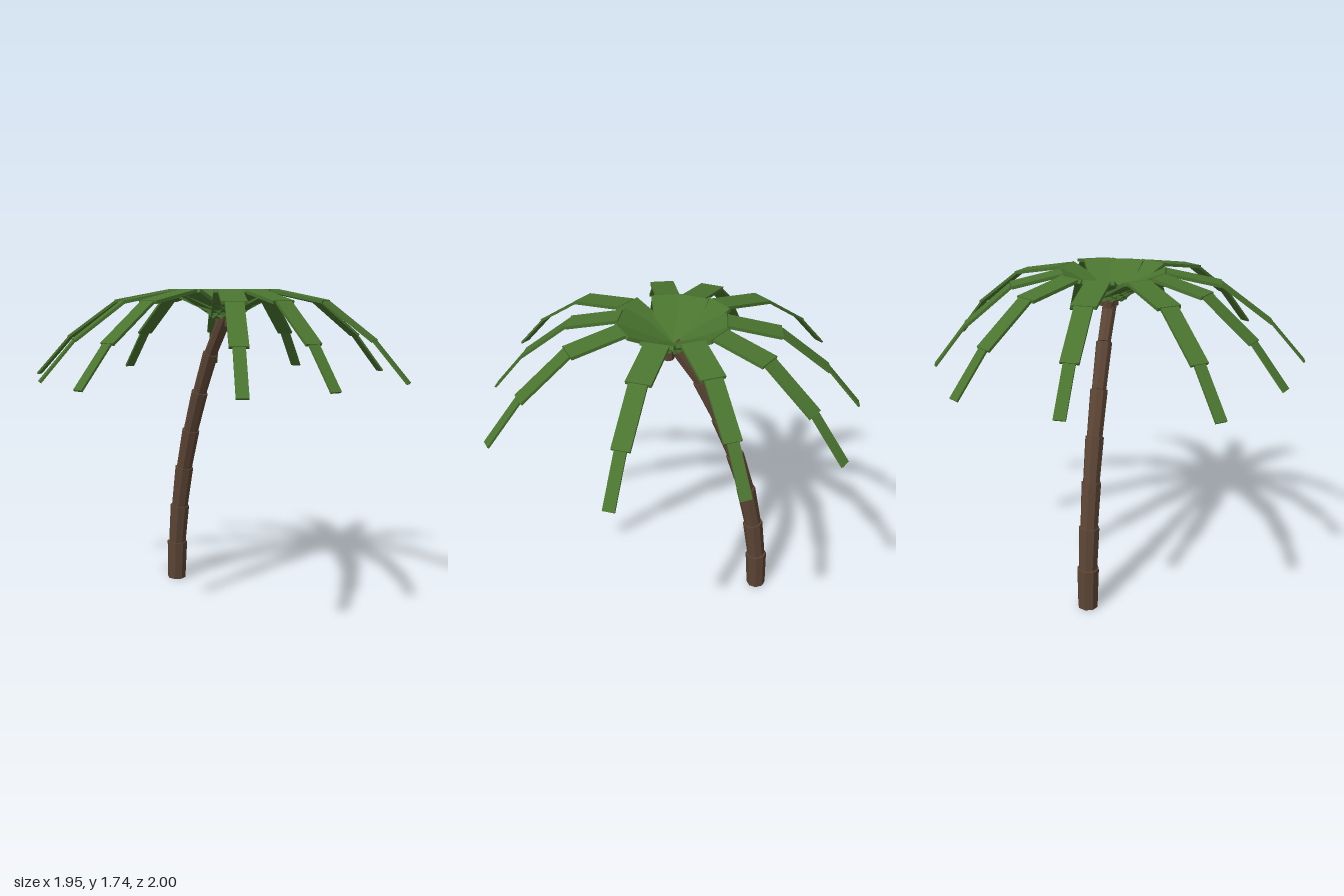
import * as THREE from 'three';

const leafGreen = new THREE.MeshStandardMaterial({ name: 'leaf green', color: 0x4a742f, flatShading: true });
const barkBrown = new THREE.MeshStandardMaterial({ name: 'bark brown', color: 0x5c4535, flatShading: true });

const CROWN_Z = -0.02;

// Trunk joints (x, y) and the radius at the top of each section
const TRUNK = [[-0.495, 0.003], [-0.485, 0.23], [-0.455, 0.46], [-0.405, 0.7], [-0.335, 0.93],
  [-0.245, 1.16], [-0.14, 1.385], [0, 1.6]];
const TRUNK_RADII = [0.06, 0.056, 0.053, 0.05, 0.047, 0.043, 0.039];

// Frond profile: fraction of reach, height; then width and thickness of each blade
const PROFILE = [[0, 1.59], [0.28, 1.728], [0.56, 1.672], [0.82, 1.475], [1, 1.265]];
const BLADES = [[0.168, 0.02], [0.127, 0.017], [0.093, 0.014], [0.06, 0.011]];

// Frond tips seen from above (x, z)
const TIPS = [[0.23, -0.99], [0.89, -0.5], [0.965, 0.08], [0.91, 0.585], [0.18, 0.99],
  [-0.32, 0.94], [-0.81, 0.7], [-0.97, 0], [-0.85, -0.56], [-0.38, -0.87]];

// Flared, faceted trunk sections stacked along the bend
function createTrunk() {
  const trunk = new THREE.Group();
  trunk.name = 'trunk';
  TRUNK_RADII.forEach((r, i) => {
    const a = new THREE.Vector3(...TRUNK[i], CROWN_Z);
    const b = new THREE.Vector3(...TRUNK[i + 1], CROWN_Z);
    const dir = b.clone().sub(a);
    const section = new THREE.Mesh(new THREE.CylinderGeometry(r, r * 0.9, dir.length(), 8), barkBrown);
    section.position.copy(a).lerp(b, 0.5);
    section.quaternion.setFromUnitVectors(new THREE.Vector3(0, 1, 0), dir.normalize());
    section.name = 'trunkSection';
    trunk.add(section);
  });
  return trunk;
}

// One frond: four flat blades that rise, then droop towards the tip
function createFrond([x, z]) {
  const frond = new THREE.Group();
  frond.name = 'frond';
  const point = ([f, y]) => new THREE.Vector3(x * f, y, CROWN_Z + (z - CROWN_Z) * f);
  const side = new THREE.Vector3(-(z - CROWN_Z), 0, x).normalize();
  BLADES.forEach(([width, thickness], i) => {
    const a = point(PROFILE[i]), b = point(PROFILE[i + 1]);
    const dir = b.clone().sub(a);
    const length = dir.length();
    dir.normalize();
    const up = side.clone().cross(dir);
    const blade = new THREE.Mesh(new THREE.BoxGeometry(length, thickness, width), leafGreen);
    blade.quaternion.setFromRotationMatrix(new THREE.Matrix4().makeBasis(dir, up, side));
    blade.position.copy(a).lerp(b, 0.5);
    blade.name = 'blade';
    frond.add(blade);
  });
  return frond;
}

export function createModel() {
  const palm = new THREE.Group();
  palm.name = 'palmTree';
  palm.add(createTrunk());
  TIPS.forEach((tip) => palm.add(createFrond(tip)));

  // Small nuts under the crown
  for (const [x, z] of [[-0.048, -0.02], [0.038, -0.02], [0.025, -0.068]]) {
    const nut = new THREE.Mesh(new THREE.CylinderGeometry(0.031, 0.031, 0.052, 8), barkBrown);
    nut.position.set(x, 1.565, z);
    nut.name = 'nut';
    palm.add(nut);
  }
  return palm;
}
